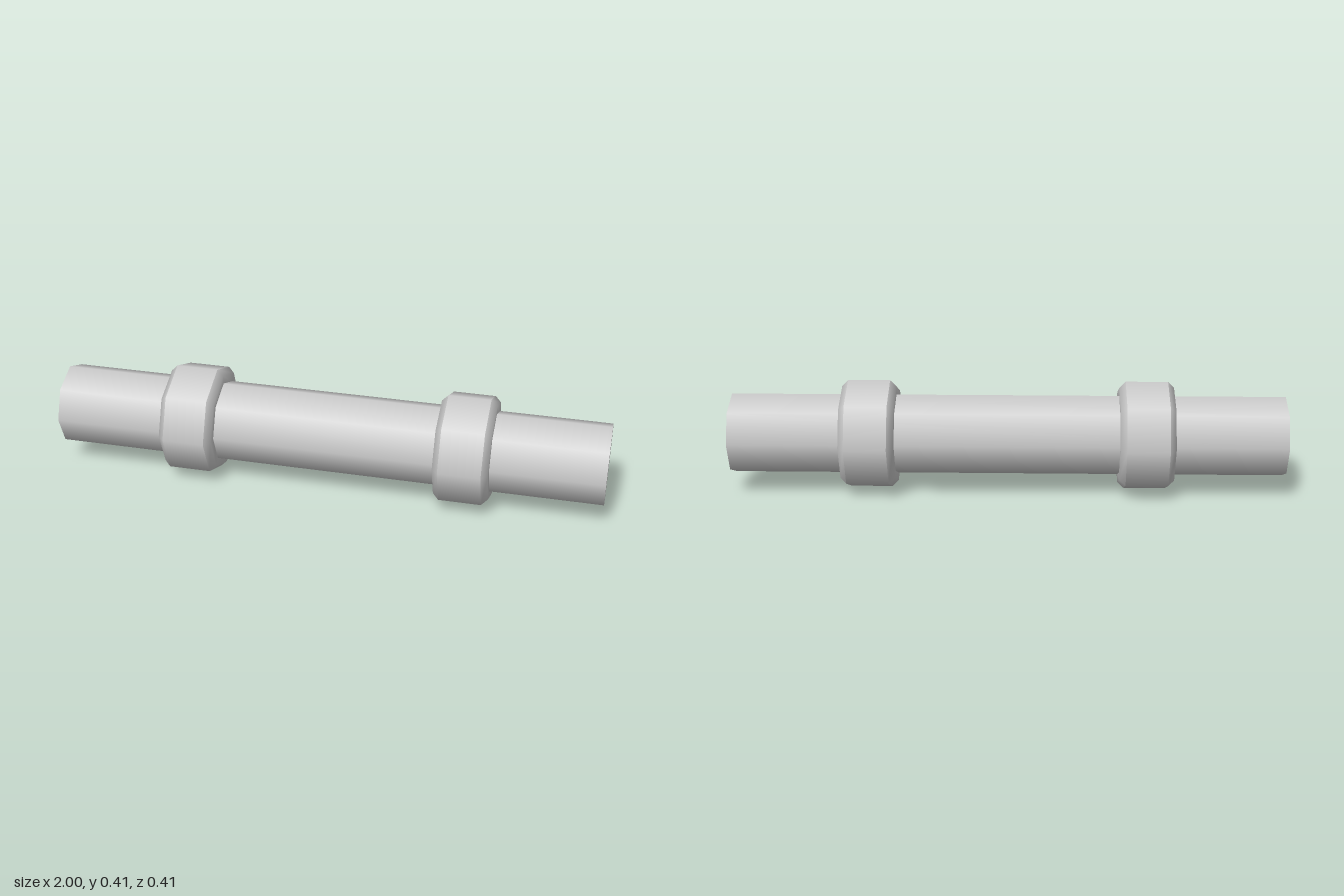
import * as THREE from 'three';

const SIDES = 8;
const PIPE_R = 0.149;
const RING_R = 0.2025;
const BEVEL_R = 0.18;
const HALF = 0.098; // half the width of a ring
const BEVEL = 0.022;

export function createModel() {
  const model = new THREE.Group();
  const material = new THREE.MeshStandardMaterial({ color: 0xcccccc });

  const addPart = (name, geometry, parent) => {
    const mesh = new THREE.Mesh(geometry, material);
    mesh.name = name;
    parent.add(mesh);
  };
  const lathe = (points) =>
    new THREE.LatheGeometry(points.map(([r, y]) => new THREE.Vector2(r, y)), SIDES);

  // Everything is turned around y, then laid along x
  const axis = new THREE.Group();
  axis.name = 'pipeAssembly';
  axis.rotation.z = -Math.PI / 2;
  axis.position.y = RING_R;
  model.add(axis);

  // Long eight-sided pipe with closed ends
  addPart('pipe', new THREE.CylinderGeometry(PIPE_R, PIPE_R, 2, SIDES), axis);

  // Two collars: a flat band with softly shaded bevelled ends
  for (const side of [-1, 1]) {
    const collar = new THREE.Group();
    collar.name = side < 0 ? 'rightCollar' : 'leftCollar';
    collar.position.y = side * 0.5;
    axis.add(collar);

    const edge = HALF - BEVEL;
    addPart('collarBand', lathe([[RING_R, -edge], [RING_R, edge]]), collar);
    addPart('collarInnerEnd', lathe([[PIPE_R - 0.005, -HALF], [BEVEL_R, -HALF], [RING_R, -edge]]), collar);
    addPart('collarOuterEnd', lathe([[RING_R, edge], [BEVEL_R, HALF], [PIPE_R - 0.005, HALF]]), collar);
  }

  return model;
}
